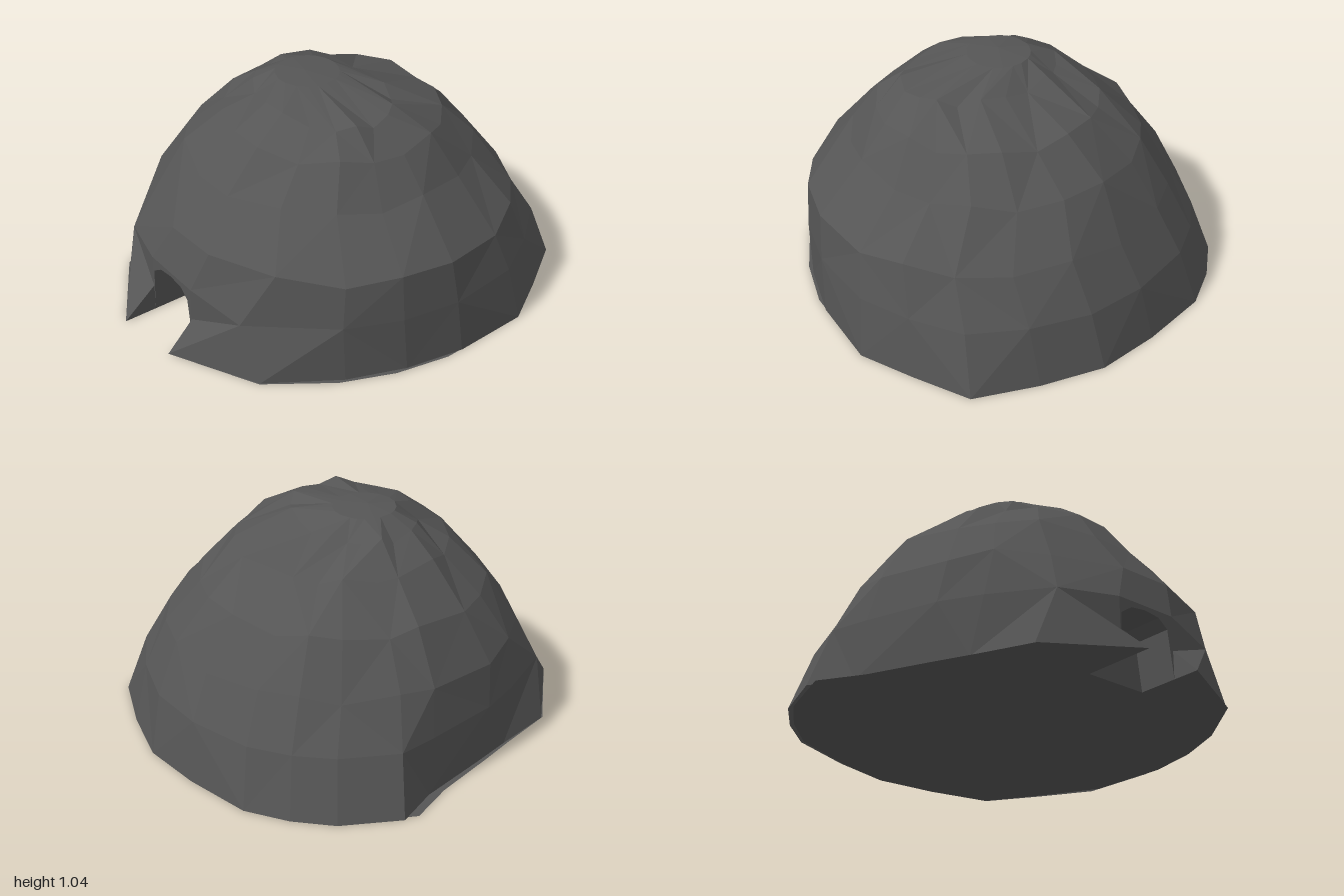
import * as THREE from 'three';

// Ground outline (x, z), from the door's right jamb round the back to its left jamb
const OUTLINE = [
  [-0.13, 0.84], [-0.51, 0.75], [-0.62, 0.5], [-0.7, 0.33], [-0.83, 0.04],
  [-0.95, -0.15], [-0.86, -0.45], [-0.74, -0.63], [-0.58, -0.79], [-0.27, -0.92],
  [0.02, -1], [0.32, -0.97], [0.62, -0.9], [0.78, -0.64], [0.92, -0.39],
  [0.94, 0], [0.89, 0.25], [0.79, 0.49], [0.59, 0.77], [0.18, 0.84],
];
// Height and extents of each ring: y, xMin, xMax, zMin, zMax
const LEVELS = [
  [0, -0.95, 0.94, -1, 0.84],
  [0.27, -0.86, 0.93, -0.94, 0.84],
  [0.48, -0.76, 0.91, -0.83, 0.785],
  [0.7, -0.62, 0.7, -0.68, 0.63],
  [0.87, -0.43, 0.58, -0.5, 0.47],
  [0.97, -0.28, 0.45, -0.22, 0.32],
  [1.03, -0.16, 0.13, -0.09, 0.2],
];
const ARCH = [[-0.13, 0], [-0.12, 0.22], [-0.06, 0.26], [0.02, 0.27], [0.1, 0.26], [0.15, 0.22], [0.18, 0]];
const WALL = 0.84; // z of the door's front edge
const DEEP = 0.65; // z of the door's back wall

const material = new THREE.MeshStandardMaterial({ color: 0x555555, flatShading: true, side: THREE.DoubleSide });

function mesh(name, geometry) {
  const m = new THREE.Mesh(geometry, material);
  m.name = name;
  return m;
}

// Flat-shaded surface from a list of triangles
function surface(name, triangles) {
  const g = new THREE.BufferGeometry();
  g.setAttribute('position', new THREE.Float32BufferAttribute(triangles.flat(2), 3));
  g.computeVertexNormals();
  return mesh(name, g);
}

function flatShape(points) {
  return new THREE.ShapeGeometry(new THREE.Shape(points.map(([x, y]) => new THREE.Vector2(x, y))));
}

// Fit the outline into a level's extents, rounding its corners with height
function ring([y, x0, x1, z0, z1], level) {
  const round = Math.min(1, y / 0.5);
  return OUTLINE.map(([x, z], i) => {
    const u = x > 0 ? x / 0.94 : x / 0.95;
    const w = z > 0 ? z / 0.84 : z;
    const k = THREE.MathUtils.lerp(1, 1 / Math.hypot(u, w), round);
    const bump = level > 1 && level < 6 ? 0.018 * Math.sin(i * 2.3 + level * 1.7) : 0;
    return [
      (x0 + x1) / 2 + (u * k * (x1 - x0)) / 2,
      y + bump,
      (z0 + z1) / 2 + (w * k * (z1 - z0)) / 2,
    ];
  });
}

export function createModel() {
  const group = new THREE.Group();
  group.name = 'rockShelter';
  const n = OUTLINE.length;
  const rings = LEVELS.map(ring);

  // Fixed points round the doorway
  rings[1][0] = [-0.13, 0.29, WALL];
  rings[1][n - 1] = [0.18, 0.29, WALL];
  rings[1][1] = [-0.41, 0.27, 0.765];
  rings[1][n - 2] = [0.46, 0.24, 0.775];

  // Faceted dome, left open at the doorway and its flanks
  const dome = [];
  for (let j = 0; j < rings.length - 1; j++) {
    for (let i = 0; i < n; i++) {
      if (j === 0 && (i === 0 || i >= n - 2)) continue;
      const k = (i + 1) % n;
      const a = rings[j][i], b = rings[j][k], c = rings[j + 1][i], d = rings[j + 1][k];
      if ((i + j) % 2) dome.push([b, a, c], [b, c, d]);
      else dome.push([b, a, d], [a, c, d]);
    }
  }
  // Cap
  const top = rings[rings.length - 1];
  for (let i = 0; i < n; i++) dome.push([top[(i + 1) % n], top[i], [-0.02, 1.042, 0.07]]);
  group.add(surface('dome', dome));

  // Pointed buttresses on both sides of the door
  const tips = [[-0.13, 0, 1], [0.18, 0, 0.97]];
  [[0, 1, tips[0]], [n - 1, n - 2, tips[1]]].forEach(([inner, outer, tip], s) => {
    const base = rings[0][outer], spur = rings[1][outer], head = rings[1][inner];
    const jamb = [tip[0], 0.13, WALL], foot = [tip[0], 0, WALL];
    const faces = [[base, tip, spur], [spur, tip, jamb], [spur, jamb, head], [tip, foot, jamb]];
    if (s) faces.forEach((f) => f.reverse());
    group.add(surface(s ? 'leftButtress' : 'rightButtress', faces));
  });

  // Arched door recess: lintel, tunnel and back wall
  const lintel = flatShape([...ARCH, [0.18, 0.29], [-0.13, 0.29]]);
  lintel.translate(0, 0, WALL);
  group.add(mesh('doorLintel', lintel));
  const tunnel = [];
  for (let i = 0; i < ARCH.length - 1; i++) {
    const a = [...ARCH[i], WALL], b = [...ARCH[i + 1], WALL];
    const c = [...ARCH[i], DEEP], d = [...ARCH[i + 1], DEEP];
    tunnel.push([a, c, b], [b, c, d]);
  }
  group.add(surface('doorTunnel', tunnel));
  const back = flatShape(ARCH);
  back.translate(0, 0, DEEP);
  group.add(mesh('doorBack', back));

  // Flat underside with the door notch
  const under = flatShape([
    ...OUTLINE.slice(1, n - 1),
    [0.18, 0.97], [0.18, DEEP], [-0.13, DEEP], [-0.13, 1],
  ]);
  under.rotateX(Math.PI / 2);
  group.add(mesh('underside', under));

  return group;
}
